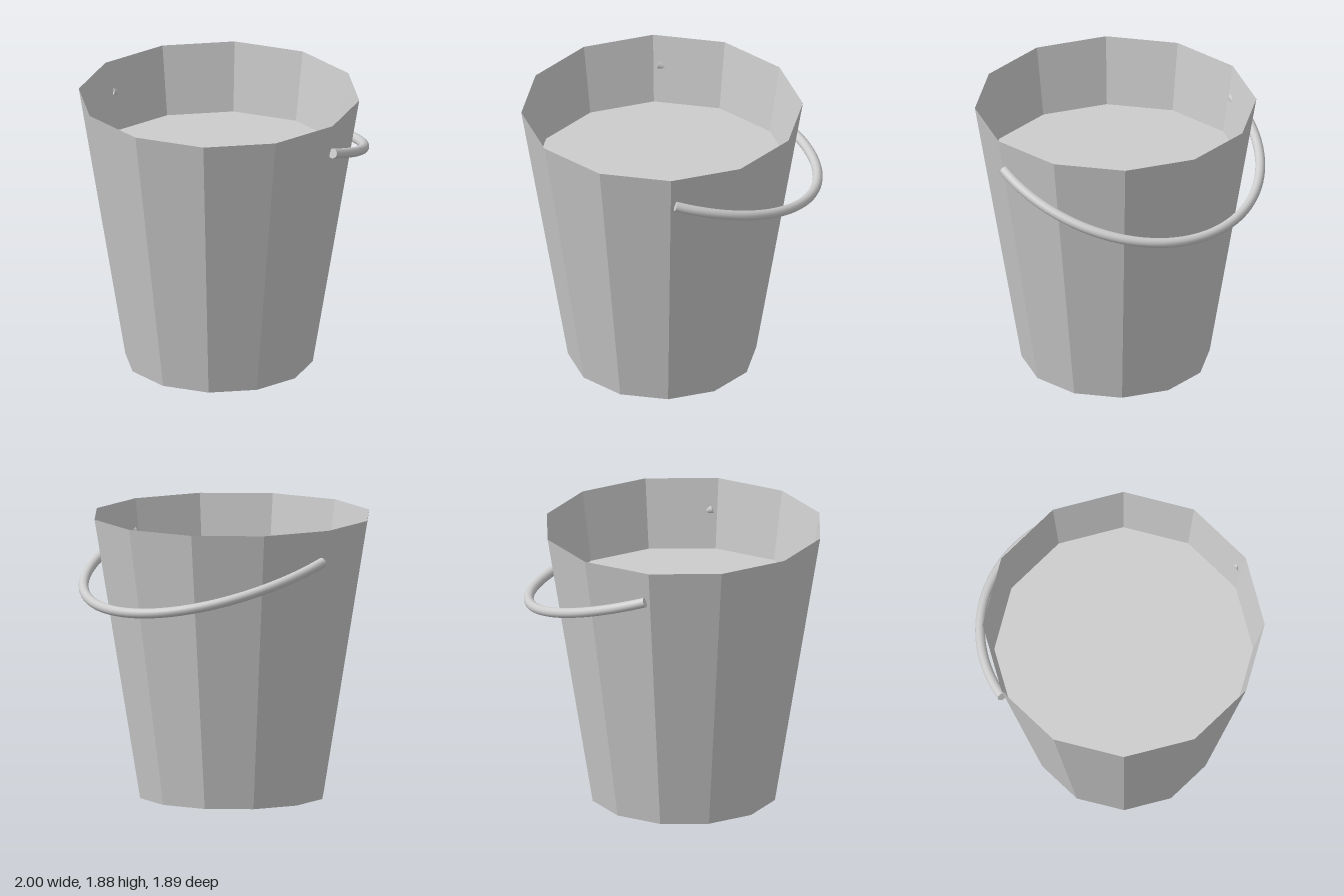
import * as THREE from 'three';

const SIDES = 12, HEIGHT = 1.88, R_BOTTOM = 0.625, R_TOP = 0.935, CENTER_X = -0.065;
const FILL_Y = 1.41;

export function createModel() {
  const grey = new THREE.MeshStandardMaterial({ color: 0xcccccc, side: THREE.DoubleSide });
  grey.name = 'grey metal';
  const model = new THREE.Group();
  model.name = 'bucket';

  const add = (name, geometry, parent) => {
    const mesh = new THREE.Mesh(geometry, grey);
    mesh.name = name;
    parent.add(mesh);
    return mesh;
  };
  const faceted = (geometry) => {
    const flat = geometry.toNonIndexed();
    flat.computeVertexNormals();
    return flat;
  };
  // Twelve-sided disc with corners on the axes
  const disc = (radius) => new THREE.CircleGeometry(radius, SIDES);

  // Tapered thin-walled body
  const body = new THREE.Group();
  body.name = 'body';
  body.position.x = CENTER_X;
  model.add(body);
  add('wall', faceted(new THREE.CylinderGeometry(R_TOP, R_BOTTOM, HEIGHT, SIDES, 1, true)), body)
    .position.y = HEIGHT / 2;
  add('base', disc(R_BOTTOM).rotateX(Math.PI / 2), body);

  // Level surface of the contents, meeting the wall
  const fillRadius = R_BOTTOM + (R_TOP - R_BOTTOM) * FILL_Y / HEIGHT;
  add('contents', disc(fillRadius).rotateX(-Math.PI / 2), body).position.y = FILL_Y;

  // Bail handle: half ellipse hanging towards +x
  const handle = new THREE.Group();
  handle.name = 'handle';
  handle.position.set(-0.035, 1.67, 0);
  model.add(handle);
  const points = [];
  for (let i = 0; i <= 32; i++) {
    const a = -Math.PI / 2 + Math.PI * i / 32;
    points.push(new THREE.Vector3(1.002 * Math.cos(a), -0.328 * Math.cos(a), 0.913 * Math.sin(a)));
  }
  const path = new THREE.CatmullRomCurve3(points);
  add('handleBar', new THREE.TubeGeometry(path, 64, 0.033, 16), handle);

  // Flat ends of the bar
  for (const t of [0, 1]) {
    const cap = add('handleEnd', new THREE.CircleGeometry(0.033, 16), handle);
    const outward = path.getTangentAt(t).multiplyScalar(t === 0 ? -1 : 1);
    cap.position.copy(path.getPointAt(t));
    cap.quaternion.setFromUnitVectors(new THREE.Vector3(0, 0, 1), outward);
  }
  return model;
}
